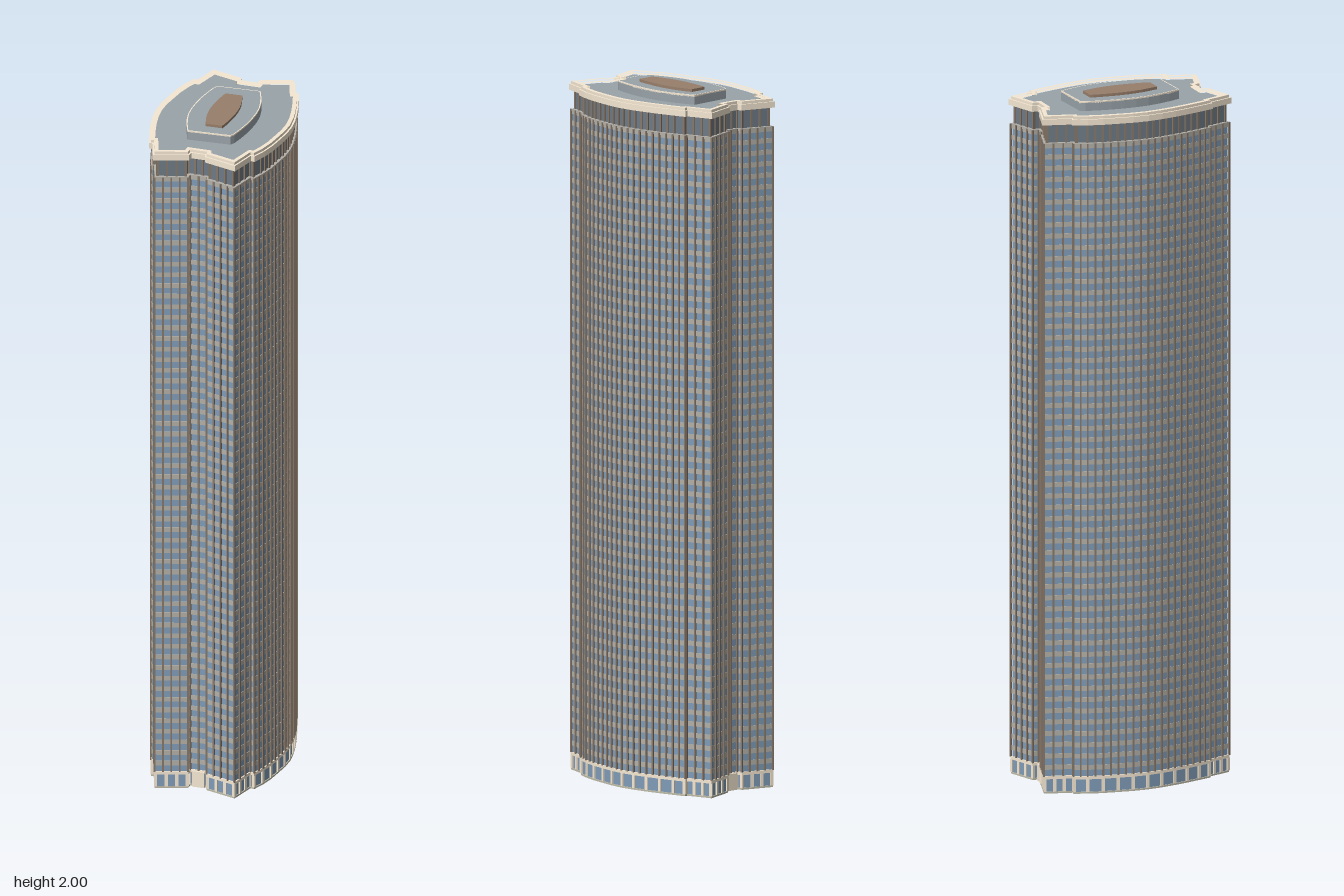
import * as THREE from 'three';
import { mergeGeometries } from 'three/addons/utils/BufferGeometryUtils.js';

const paint = (color) => new THREE.MeshStandardMaterial({ color, flatShading: true });
const MAT = {
  glass: paint(0x7f9cb8), band: paint(0xb3b0a8), pier: paint(0x87786a), cream: paint(0xf6e8d3),
  roof: paint(0x99a3a9), brown: paint(0x997f6b), base: paint(0xbfbcaa), crown: paint(0x6d7a86),
};

// Smooth a run of [x, z] points into evenly spaced facets.
const bow = (pts, n) => new THREE.CatmullRomCurve3(pts.map(([x, z]) => new THREE.Vector3(x, 0, z)))
  .getSpacedPoints(n).map((p) => [p.x, p.z]);

// Plans are [x, z] lists; the second half is the first turned by 180 degrees.
const turned = (half) => [...half, ...half.map(([x, z]) => [-x, -z])];
const PLAN = turned([
  [0.09, -0.305], [0.146, -0.217], [0.14, -0.204], [0.171, -0.177], [0.182, -0.189],
  [0.277, -0.15], [0.249, -0.076],
  ...bow([[0.257, -0.072], [0.236, -0.022], [0.217, 0.02], [0.185, 0.082], [0.145, 0.14],
    [0.093, 0.19], [0.04, 0.235], [-0.015, 0.267]], 10),
  [-0.022, 0.258],
]);
const PENTHOUSE = turned([
  [0.045, -0.16],
  ...bow([[0.145, -0.083], [0.124, -0.025], [0.098, 0.025], [0.06, 0.073], [0.015, 0.118], [-0.03, 0.154]], 8),
]);
const CORE = turned([
  [0.045, -0.098], ...bow([[0.083, -0.067], [0.06, -0.018], [0.028, 0.028], [-0.006, 0.064], [-0.036, 0.092]], 8),
]);

// Shift every edge of a plan inwards by d and rejoin the corners.
function inset(plan, d) {
  const n = plan.length;
  const normal = (a, b) => {
    const l = Math.hypot(b[0] - a[0], b[1] - a[1]);
    return [-(b[1] - a[1]) / l, (b[0] - a[0]) / l];
  };
  return plan.map((p, i) => {
    const u = normal(plan[(i + n - 1) % n], p), v = normal(p, plan[(i + 1) % n]);
    const k = d / Math.max(0.35, 1 + u[0] * v[0] + u[1] * v[1]);
    return [p[0] + (u[0] + v[0]) * k, p[1] + (u[1] + v[1]) * k];
  });
}

// Vertical prism over a plan, with an optional hole.
function prism(plan, y0, y1, hole) {
  const pts = (p) => p.map(([x, z]) => new THREE.Vector2(x, -z));
  const shape = new THREE.Shape(pts(plan));
  if (hole) shape.holes.push(new THREE.Path(pts(hole)));
  return new THREE.ExtrudeGeometry(shape, { depth: y1 - y0, bevelEnabled: false })
    .rotateX(-Math.PI / 2).translate(0, y0, 0);
}

// Upright boxes spaced along every edge of a plan, starting at its corners.
function uprights(plan, y0, y1, spacing, width, depth) {
  const out = [];
  plan.forEach((a, i) => {
    const b = plan[(i + 1) % plan.length];
    const len = Math.hypot(b[0] - a[0], b[1] - a[1]);
    const n = Math.max(1, Math.round(len / spacing));
    for (let k = 0; k < n; k++) {
      const t = k / n;
      out.push(new THREE.BoxGeometry(width, y1 - y0, depth)
        .rotateY(-Math.atan2(b[1] - a[1], b[0] - a[0]))
        .translate(a[0] + (b[0] - a[0]) * t, (y0 + y1) / 2, a[1] + (b[1] - a[1]) * t));
    }
  });
  return mergeGeometries(out);
}

export function createModel() {
  const model = new THREE.Group();
  const add = (name, geometry, material) => {
    const mesh = new THREE.Mesh(geometry, material);
    mesh.name = name;
    model.add(mesh);
  };
  const skin = inset(PLAN, 0.005);
  const face = inset(PLAN, 0.008);

  // Ground floor
  add('foundation', prism(skin, 0, 0.005), MAT.base);
  add('lobbyGlass', prism(face, 0.005, 0.05), MAT.glass);
  add('lobbyPiers', uprights(face, 0.005, 0.042, 0.03, 0.009, 0.008), MAT.cream);
  add('lobbyLintel', prism(inset(PLAN, 0.004), 0.042, 0.051), MAT.cream);
  for (const s of [1, -1]) {
    const door = new THREE.BoxGeometry(0.036, 0.048, 0.012)
      .rotateY(-Math.atan2(0.027, 0.031)).translate(s * 0.153, 0.025, s * -0.188);
    add(s > 0 ? 'backEntrance' : 'frontEntrance', door, MAT.cream);
  }

  // Shaft: glass, a spandrel on each floor, slim piers
  const bottom = 0.05, top = 1.9, floors = 56, step = (top - bottom) / floors;
  add('shaftGlass', prism(face, bottom, top - 0.002), MAT.glass);
  const bands = [];
  for (let i = 1; i <= floors; i++) {
    const y = bottom + i * step;
    bands.push(prism(inset(PLAN, 0.0065), y - step * 0.42, y));
  }
  add('floorBands', mergeGeometries(bands), MAT.band);
  add('piers', uprights(skin, bottom, top, 0.024, 0.005, 0.005), MAT.pier);
  add('shaftCap', prism(skin, top - 0.006, top + 0.001), MAT.band);

  // Recessed crown storey
  const crown = inset(PLAN, 0.014);
  add('crownWall', prism(crown, top, 1.956), MAT.crown);
  add('crownPiers', uprights(crown, top, 1.956, 0.024, 0.006, 0.008), MAT.pier);

  // Roof with stepped parapet
  const inner = inset(PLAN, 0.017);
  add('roofDeck', prism(inset(PLAN, 0.01), 1.956, 1.968), MAT.roof);
  add('cornice', prism(PLAN, 1.955, 1.972, inner), MAT.cream);
  add('parapet', prism(inset(PLAN, 0.005), 1.972, 1.98, inner), MAT.cream);

  // Rooftop plant enclosure
  add('penthouse', prism(PENTHOUSE, 1.966, 1.992), MAT.roof);
  add('penthouseRim', prism(PENTHOUSE, 1.99, 1.996, inset(PENTHOUSE, 0.003)), MAT.cream);
  add('penthouseCore', prism(CORE, 1.99, 2.0), MAT.brown);
  return model;
}
